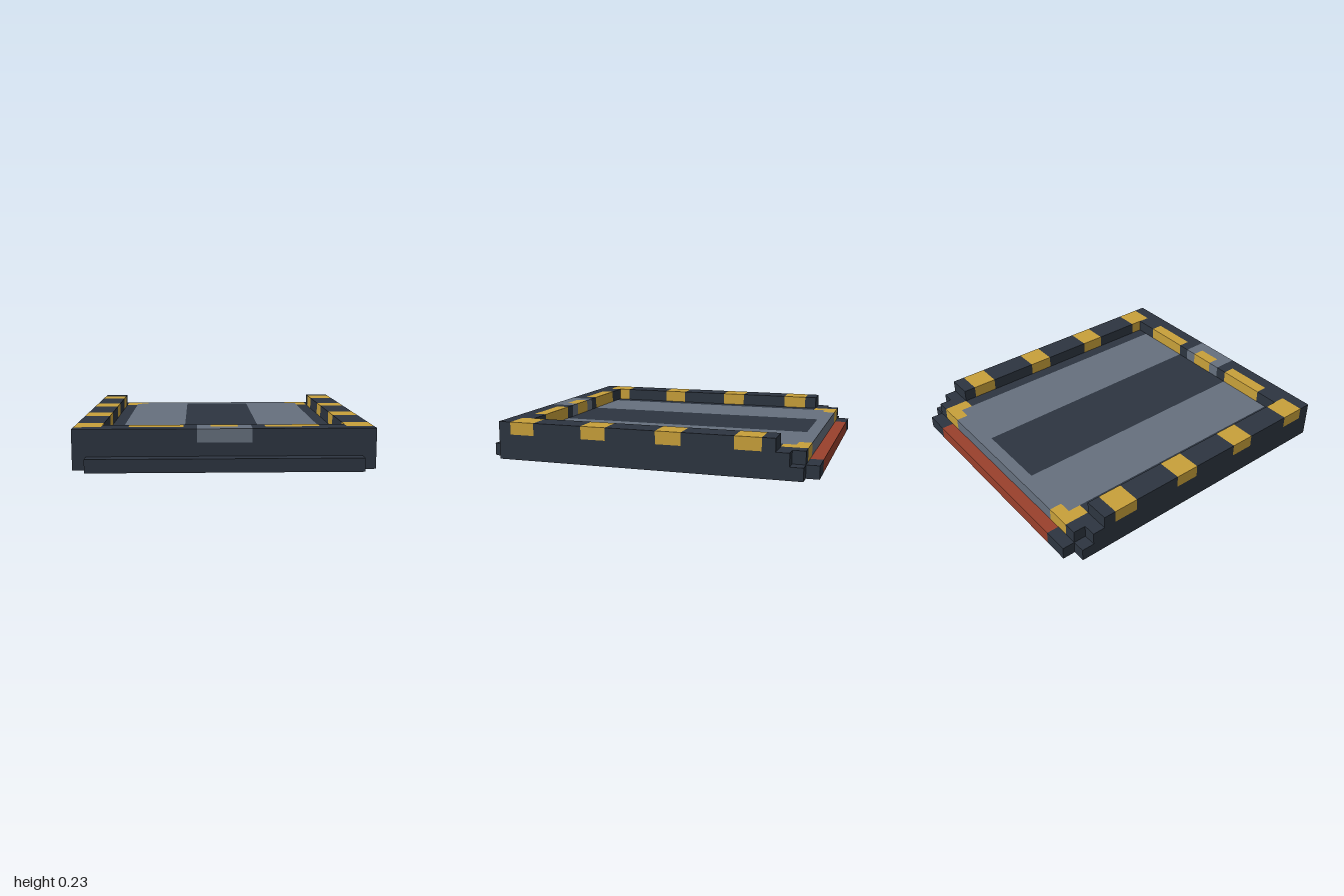
import * as THREE from 'three';

const U = 2 / 26; // one block

function flat(name, color) {
  const m = new THREE.MeshStandardMaterial({ color });
  m.name = name;
  return m;
}

export function createModel() {
  const dark = flat('dark slate', 0x2d3540);
  const grey = flat('steel grey', 0x66707e);
  const gold = flat('gold', 0xc8a03a);
  const red = flat('rust red', 0x9a402c);
  const model = new THREE.Group();
  model.name = 'tray';

  // Box given by its limits in blocks
  function box(name, mat, x0, x1, y0, y1, z0, z1) {
    const mesh = new THREE.Mesh(
      new THREE.BoxGeometry((x1 - x0) * U, (y1 - y0) * U, (z1 - z0) * U), mat);
    mesh.position.set((x0 + x1) / 2 * U, (y0 + y1) / 2 * U, (z0 + z1) / 2 * U);
    mesh.name = name;
    model.add(mesh);
  }
  // The same box on the left and right
  function pair(name, mat, x0, x1, ...rest) {
    box(name + 'Left', mat, x0, x1, ...rest);
    box(name + 'Right', mat, -x1, -x0, ...rest);
  }

  // Base slab with its front and rear ledges
  box('base', dark, -11, 11, 0, 1, -12, 12);
  box('frontLedge', dark, -10, 10, 0, 1, 12, 13);
  box('rearBar', red, -8, 8, 0, 1, -13, -12);
  pair('rearBarEnd', dark, 8, 10, 0, 1, -13, -12);

  // Floor layer
  box('floorStripe', dark, -3, 3, 1, 2, -11, 10);
  pair('floorPanel', grey, 3, 8, 1, 2, -11, 10);
  box('floorRearEdge', grey, -7, 7, 1, 2, -12, -11);
  pair('cornerTrimRear', gold, 7, 9, 1, 2, -12, -11);
  pair('cornerTrimSide', gold, 8, 9, 1, 2, -11, -10);
  pair('floorBorder', dark, 8, 9, 1, 2, -10, 10);
  pair('sideSill', dark, 9, 11, 1, 2, -11, 10);
  pair('rearCornerStep', dark, 9, 10, 1, 2, -12, -11);
  box('frontSill', dark, -11, 11, 1, 2, 10, 12);

  // Side rails: gold blocks with dark blocks between
  let z = -10;
  for (const start of [-9, -3, 3, 9]) {
    pair('sideRail', dark, 9, 11, 2, 3, z, start);
    pair('sideRailMark', gold, 9, 11, 2, 3, start, start + 2);
    z = start + 2;
  }

  // Front rail with gold inlays and a grey latch
  pair('frontRailOuter', dark, 2, 11, 2, 3, 11, 12);
  pair('frontRailEnd', dark, 7, 9, 2, 3, 10, 11);
  pair('frontRailMark', gold, 3, 7, 2, 3, 10, 11);
  pair('frontRailInner', dark, 2, 3, 2, 3, 10, 11);
  box('latch', grey, -2, 2, 2, 3, 11, 12);
  pair('latchSide', grey, 1, 2, 2, 3, 10, 11);
  box('latchMark', gold, -1, 1, 2, 3, 10, 11);

  return model;
}
